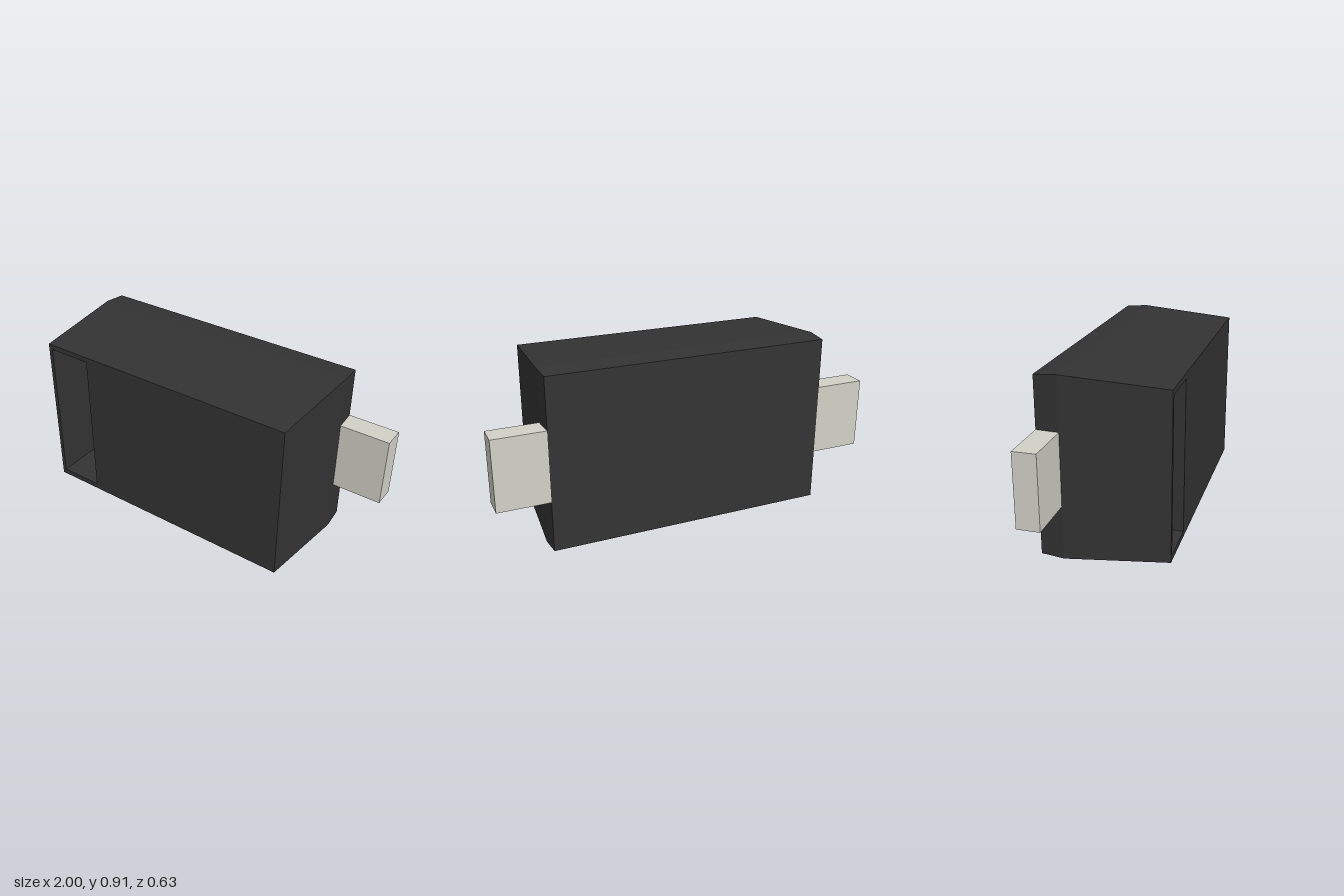
import * as THREE from 'three';

const CY = 0.457; // mid height of the body

// Four corners of a rectangle facing +z, counter-clockwise
const ring = (x0, x1, y0, y1, z) => [[x0, y0, z], [x1, y0, z], [x1, y1, z], [x0, y1, z]];
const centred = (hx, hy, z) => ring(-hx, hx, CY - hy, CY + hy, z);

// Non-indexed geometry from quads, so every face stays flat
function quadGeometry(quads) {
  const pos = [];
  for (const [a, b, c, d] of quads) pos.push(...a, ...b, ...c, ...a, ...c, ...d);
  const g = new THREE.BufferGeometry();
  g.setAttribute('position', new THREE.Float32BufferAttribute(pos, 3));
  g.computeVertexNormals();
  return g;
}

// Quads joining a rear ring to a front ring, facing outwards
const wall = (back, front) =>
  back.map((p, i) => [p, back[(i + 1) % 4], front[(i + 1) % 4], front[i]]);

export function createModel() {
  const group = new THREE.Group();
  const black = new THREE.MeshStandardMaterial({ color: 0x333333 });
  black.name = 'black plastic';
  const metal = new THREE.MeshStandardMaterial({ color: 0xd2d1c7 });
  metal.name = 'pale metal';

  const add = (name, geometry, material) => {
    const mesh = new THREE.Mesh(geometry, material);
    mesh.name = name;
    group.add(mesh);
    return mesh;
  };

  // Body: tapered block, widest near the back
  const back = centred(0.735, 0.449, -0.315);
  const widest = centred(0.742, 0.457, -0.2);
  const front = centred(0.706, 0.42, 0.315);
  // Deep rectangular pocket in the front face
  const mouth = ring(-0.685, -0.45, 0.067, 0.849, 0.315);
  const pocketFloor = ring(-0.685, -0.45, 0.067, 0.849, -0.1);

  add('body', quadGeometry([
    ...wall(back, widest),
    ...wall(widest, front),
    [...back].reverse(),
    ...wall(mouth, front).map(([a, b, c, d]) => [d, c, b, a]), // frame around the pocket
  ]), black);

  add('markingPocket', quadGeometry([
    ...wall(pocketFloor, mouth).map((q) => q.reverse()),
    pocketFloor,
  ]), black);

  // Flat terminals on both ends
  for (const [name, side] of [['leftTerminal', 1], ['rightTerminal', -1]]) {
    const terminal = add(name, new THREE.BoxGeometry(0.265, 0.37, 0.115), metal);
    terminal.position.set(side * 0.8675, 0.459, -0.2575);
  }
  return group;
}
